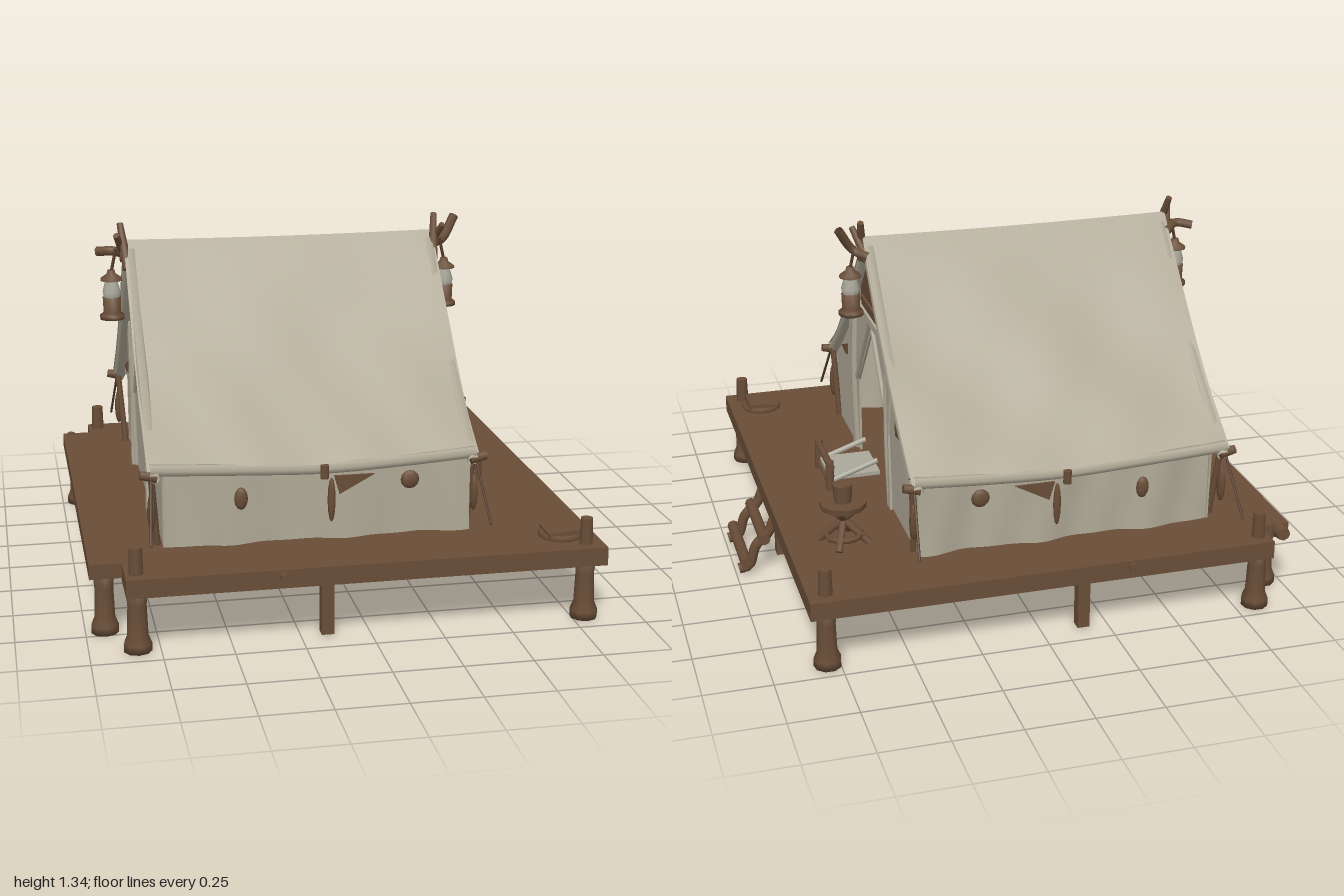
import * as THREE from 'three';

const mat = (name, color, side = THREE.FrontSide) => {
  const m = new THREE.MeshStandardMaterial({ color, side });
  m.name = name;
  return m;
};

export function createModel() {
  const root = new THREE.Group();
  root.name = 'platformTent';
  const canvas = mat('canvas', 0xb0a997, THREE.DoubleSide);
  const wood = mat('wood', 0x694d37, THREE.DoubleSide);
  const darkWood = mat('darkWood', 0x533b2a);
  const glass = mat('lanternGlass', 0xaaa79a);

  const add = (name, geo, material, x = 0, y = 0, z = 0, parent = root) => {
    const m = new THREE.Mesh(geo, material);
    m.name = name;
    m.position.set(x, y, z);
    parent.add(m);
    return m;
  };
  const box = (name, w, h, d, x, y, z, material = wood, parent = root) =>
    add(name, new THREE.BoxGeometry(w, h, d), material, x, y, z, parent);
  const V = (p) => new THREE.Vector3(...p);
  // round pole between two points
  const pole = (name, a, b, r0, r1 = r0, material = wood, parent = root) => {
    const A = V(a), B = V(b), d = B.clone().sub(A);
    const m = add(name, new THREE.CylinderGeometry(r1, r0, d.length(), 8), material, 0, 0, 0, parent);
    m.position.copy(A).add(B).multiplyScalar(0.5);
    m.quaternion.setFromUnitVectors(new THREE.Vector3(0, 1, 0), d.normalize());
    return m;
  };
  const tube = (name, pts, r, material) =>
    add(name, new THREE.TubeGeometry(new THREE.CatmullRomCurve3(pts.map(V)), 16, r, 6), material);
  const plate = (pts) => new THREE.ExtrudeGeometry(
    new THREE.Shape(pts.map((p) => new THREE.Vector2(...p))), { depth: 0.008, bevelEnabled: false });
  // flat panel facing x, outline given as [z, y]
  const panel = (name, pts, x, material) => add(name, plate(pts).rotateY(-Math.PI / 2), material, x);

  // deck and side step board
  box('deck', 1.73, 0.068, 1.94, -0.005, 0.254, -0.01);
  box('sideBoard', 0.12, 0.055, 1.64, -0.925, 0.262, -0.03);
  pole('boardPeg', [-0.95, 0.262, -0.82], [-0.95, 0.262, -0.89], 0.035, 0.025);
  for (const s of [-1, 1]) pole('rimPeg', [-0.32, 0.265, s * 0.93], [-0.32, 0.265, s * 0.995], 0.018);

  // posts with flared feet
  const postProfile = [[0, 0], [0.05, 0], [0.05, 0.03], [0.038, 0.06], [0.034, 0.17], [0.04, 0.24], [0, 0.24]]
    .map((p) => new THREE.Vector2(...p));
  const postGeo = new THREE.LatheGeometry(postProfile, 9);
  for (const x of [-0.83, 0.795]) for (const z of [-0.92, 0.9]) {
    add('post', postGeo, wood, x, 0.005, z);
    pole('postTop', [x, 0.27, z], [x, 0.385, z], 0.026, 0.023);
  }
  for (const z of [-0.76, 0.71]) add('boardPost', postGeo, wood, -0.93, 0.005, z);
  for (const z of [-0.9, 0.88]) box('thinPost', 0.045, 0.24, 0.045, -0.155, 0.13, z);
  for (const x of [-0.83, 0.8]) box('thinPost', 0.045, 0.24, 0.045, x, 0.13, -0.035);

  // ladder
  for (const z of [-0.165, 0.105])
    tube('ladderRail', [[0.84, 0.24, z], [0.87, 0.17, z], [0.92, 0.12, z], [0.95, 0.04, z], [0.99, 0.03, z]], 0.02, wood);
  for (const [x, y] of [[0.89, 0.155], [0.965, 0.065]])
    pole('ladderRung', [x, y, -0.2], [x, y, 0.14], 0.022);

  // roof: two sagging canvas halves
  const ridge = -0.035, half = 0.735;
  const roofY = (z) => {
    const t = Math.abs(z - ridge) / half;
    return 1.285 - 0.7 * t - 0.05 * Math.sin(Math.PI * Math.min(t, 1));
  };
  for (const s of [-1, 1]) {
    const g = new THREE.PlaneGeometry(1.21, 1, 24, 16), p = g.attributes.position;
    for (let i = 0; i < p.count; i++) {
      const x = p.getX(i), t = 0.5 - p.getY(i), z = ridge + s * half * t;
      const ripple = 0.012 * Math.sin(x * 9 + t * 5 + s) * Math.sin(t * Math.PI)
        - 0.006 * Math.cos(x * 2.5) * (1 - t) + 0.006 * Math.sin(x * 17 - t * 8) * t;
      p.setXYZ(i, x - 0.16, roofY(z) + ripple, z);
    }
    g.computeVertexNormals();
    add('roofCanvas', g, canvas);
    const ez = ridge + s * (half - 0.015);
    tube('eaveHem', [[-0.755, 0.59, ez], [-0.4, 0.572, ez], [-0.13, 0.562, ez], [0.15, 0.572, ez], [0.435, 0.59, ez]], 0.022, canvas);
    pole('eaveToggle', [-0.13, 0.53, ez + s * 0.025], [-0.13, 0.58, ez + s * 0.025], 0.016);
    // rolled canvas at the gable ends
    for (const x of [-0.74, 0.425]) {
      const pts = [0.02, 0.25, 0.5, 0.75, 1].map((t) => ridge + s * half * t);
      tube('gableRoll', pts.map((z) => [x, roofY(z) - 0.026, z]), 0.024, canvas);
    }
  }
  pole('ridgePole', [-0.78, 1.22, ridge], [0.46, 1.22, ridge], 0.02);

  // long side walls with soft folds, leather ties and open vents
  for (const [z, s] of [[0.665, 1], [-0.735, -1]]) {
    const g = new THREE.PlaneGeometry(1.13, 0.3, 30, 5), p = g.attributes.position;
    for (let i = 0; i < p.count; i++)
      p.setZ(i, s * (0.012 * Math.sin(p.getX(i) * 14) + 0.006 * Math.sin(p.getX(i) * 31 + p.getY(i) * 9)));
    g.computeVertexNormals();
    add('sideWall', g, canvas, -0.145, 0.435, z);
    for (const [x, y, w, h] of [[-0.43, 0.465, 0.05, 0.085], [-0.1, 0.44, 0.03, 0.17], [0.19, 0.5, 0.07, 0.07]]) {
      const tie = add('wallTie', new THREE.SphereGeometry(0.5, 8, 6), wood, x, y, z + s * 0.022);
      tie.scale.set(w, h, 0.03);
    }
    add('wallVent', plate([[-0.09, 0.53], [-0.07, 0.46], [0.06, 0.53]]), wood, 0, 0, z + s * 0.02 - 0.004);
  }

  // gable walls: open front, closed back
  const under = (z) => [z, roofY(z) - 0.025];
  const left = [[0.66, 0.29], [0.67, 0.58], under(0.55), under(0.4), under(0.22), under(0.1)];
  const right = [under(-0.17), under(-0.29), under(-0.47), under(-0.62), [-0.74, 0.58], [-0.73, 0.29]];
  const doorway = [[-0.29, 0.29], [-0.29, 0.6], [-0.04, 0.92], [0.235, 0.6], [0.235, 0.29]];
  panel('frontWall', [...left, [ridge, 1.24], ...right, ...doorway], 0.415, canvas);
  panel('backWall', [...left, [ridge, 1.24], ...right], -0.7, canvas);
  panel('backLining', [[0.5, 0.3], [0.5, 0.66], [0.3, 0.85], [0.2, 0.92], [-0.27, 0.92], [-0.37, 0.85], [-0.57, 0.66], [-0.57, 0.3]], -0.688, wood);
  panel('hangingSheet', [[0.235, 0.62], [-0.03, 0.54], [-0.28, 0.6], [-0.19, 0.36], [-0.02, 0.38], [0.02, 0.44], [0.235, 0.44]], -0.676, canvas);
  for (const [x, s] of [[0.42, 1], [-0.712, -1]]) {
    panel('gableVent', [[0.12, 0.96], [0.13, 1.03], [ridge, 1.2], [-0.2, 1.03], [-0.19, 0.96]], x, wood);
    box('gableBand', 0.02, 0.03, 0.46, x, 0.945, ridge, canvas);
    box('ventBar', 0.02, 0.02, 0.26, x, 1.0, ridge);
    // door curtains, tied back, and small leather patches
    for (const m of [-1, 1]) {
      const at = (d) => ridge + m * d;
      tube('curtainFold', [[x, 0.9, at(0.28)], [x + s * 0.008, 0.6, at(0.285)], [x, 0.3, at(0.285)]], 0.014, canvas);
      tube('curtainEdge', [[x, 0.92, at(0.03)], [x, 0.76, at(0.16)], [x, 0.61, at(0.275)]], 0.01, canvas);
      panel('curtainFlap', [[at(0.29), 0.9], [at(0.36), 0.86], [at(0.31), 0.6], [at(0.33), 0.3], [at(0.28), 0.3]], x + s * 0.012, canvas);
      panel('wallPatch', [[at(0.42), 0.7], [at(0.52), 0.66], [at(0.43), 0.65]], x + s * 0.012, wood);
    }
  }

  // bench in the doorway
  const bench = new THREE.Group();
  bench.name = 'bench';
  root.add(bench);
  box('benchSeat', 0.2, 0.015, 0.2, 0.51, 0.335, 0.0, glass, bench);
  for (const z of [-0.1, 0.11]) {
    pole('benchLeg', [0.61, 0.29, z], [0.61, 0.41, z], 0.019, 0.016, wood, bench);
    pole('benchRail', [0.42, 0.39, z], [0.62, 0.32, z], 0.011, 0.011, glass, bench);
  }
  pole('benchBar', [0.61, 0.395, -0.13], [0.61, 0.395, 0.12], 0.015, 0.015, wood, bench);
  pole('benchBar', [0.61, 0.315, -0.13], [0.61, 0.315, 0.12], 0.012, 0.012, wood, bench);

  // camp stool with a mug
  const stool = new THREE.Group();
  stool.name = 'stool';
  stool.position.set(0.65, 0.29, -0.545);
  root.add(stool);
  add('stoolTop', new THREE.CylinderGeometry(0.088, 0.085, 0.022, 10), wood, 0, 0.15, 0, stool);
  add('mug', new THREE.CylinderGeometry(0.036, 0.032, 0.07, 10), wood, 0, 0.195, 0, stool);
  for (let i = 0; i < 4; i++) {
    const a = i * Math.PI / 2 + 0.4, c = Math.cos(a), s = Math.sin(a);
    pole('stoolLeg', [c * 0.095, 0, s * 0.095], [-c * 0.06, 0.145, -s * 0.06], 0.014, 0.014, wood, stool);
  }
  const ring = add('stoolRing', new THREE.TorusGeometry(0.065, 0.011, 6, 12), wood, 0, 0.03, 0, stool);
  ring.rotation.x = Math.PI / 2;

  // lanterns under the crossed ridge horns
  const lathe = (pts) => new THREE.LatheGeometry(pts.map((p) => new THREE.Vector2(...p)), 10);
  const baseGeo = lathe([[0, 0], [0.048, 0], [0.048, 0.015], [0.034, 0.025], [0.036, 0.085], [0, 0.09]]);
  const glassGeo = lathe([[0.032, 0.085], [0.036, 0.105], [0.022, 0.155]]);
  const capGeo = lathe([[0.043, 0.15], [0.04, 0.16], [0.018, 0.175], [0.014, 0.19], [0, 0.19]]);
  for (const [x, s] of [[0.495, 1], [-0.815, -1]]) {
    const lantern = new THREE.Group();
    lantern.name = 'lantern';
    lantern.position.set(x, 0.98, -0.035);
    root.add(lantern);
    add('lanternBase', baseGeo, wood, 0, 0, 0, lantern);
    add('lanternGlass', glassGeo, glass, 0, 0, 0, lantern);
    add('lanternCap', capGeo, wood, 0, 0, 0, lantern);
    pole('lanternHook', [0, 0.18, 0], [-s * 0.02, 0.27, 0], 0.006, 0.006, darkWood, lantern);
    const e = x - s * 0.06;
    pole('ridgeHorn', [e, 1.18, 0.02], [e + s * 0.02, 1.345, -0.055], 0.02, 0.012);
    tube('ridgeHorn', [[e, 1.22, -0.09], [e + s * 0.05, 1.24, -0.05], [e + s * 0.11, s > 0 ? 1.33 : 1.235, -0.08]], 0.018, wood);
    pole('ridgeHorn', [e, 1.2, -0.08], [e + s * 0.04, 1.31, 0.01], 0.018, 0.012);
  }

  // corner knobs, guy ropes, poles and bags
  for (const x of [-0.75, 0.435]) for (const s of [-1, 1]) {
    const z = ridge + s * 0.725, o = x < 0 ? -1 : 1;
    pole('cornerKnob', [x - o * 0.02, 0.565, z], [x + o * 0.04, 0.575, z], 0.022, 0.016);
    pole('guyRope', [x, 0.57, z], [x + o * 0.02, 0.36, z + s * 0.15], 0.005, 0.005, darkWood);
    pole('cornerPole', [x * 0.97, 0.29, z - s * 0.07], [x, 0.6, z - s * 0.03], 0.012);
    const bag = add('hangingBag', new THREE.SphereGeometry(0.5, 8, 8), wood, x, 0.43, z - s * 0.02);
    bag.scale.set(0.03, 0.14, 0.05);
  }

  // rope coil and folded bundle on the deck
  const coil = add('ropeCoil', new THREE.TorusGeometry(0.07, 0.014, 6, 14), wood, 0.73, 0.295, 0.8);
  coil.rotation.x = Math.PI / 2;
  box('bundle', 0.12, 0.03, 0.12, 0.73, 0.305, 0.8).rotation.z = 0.1;
  return root;
}
